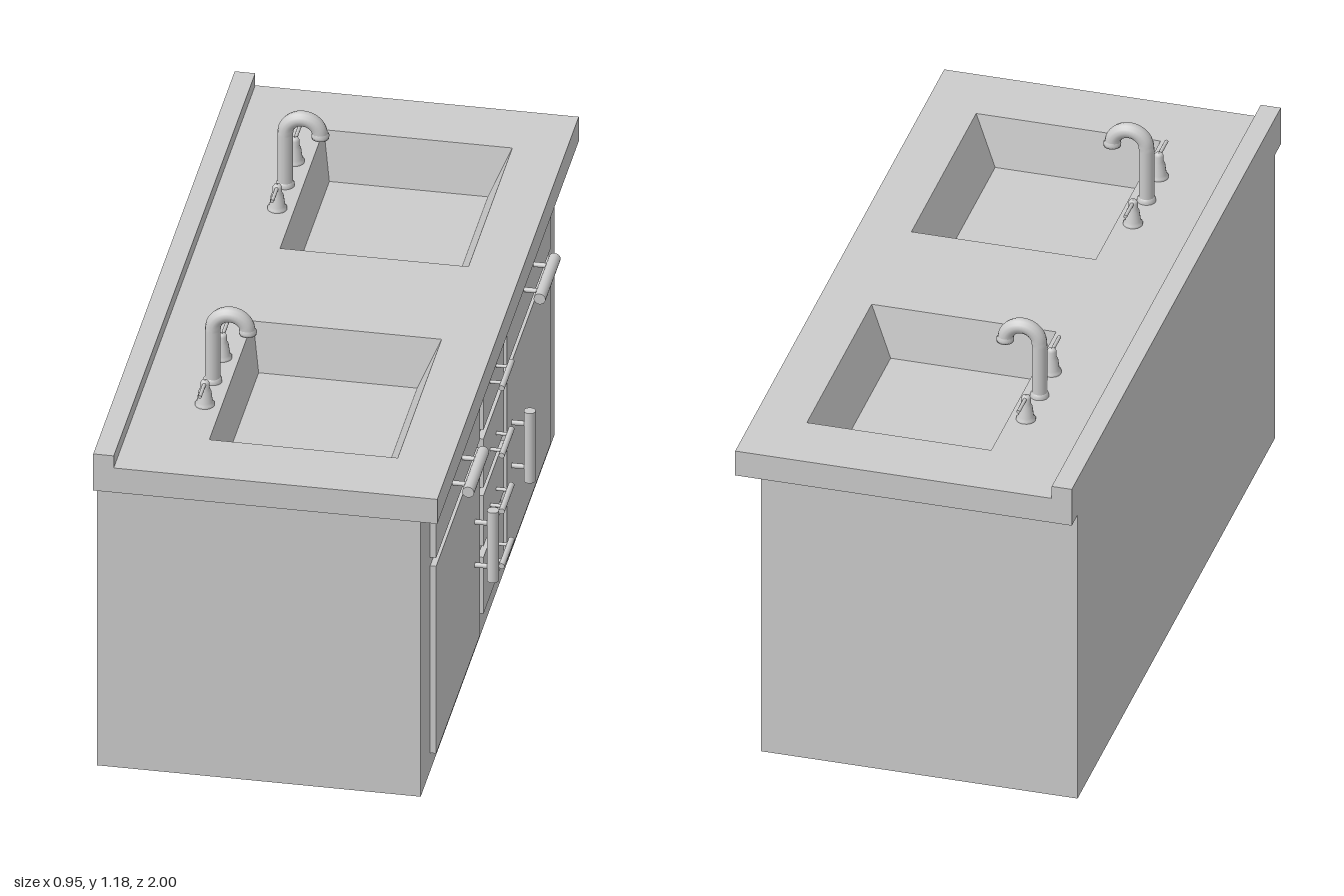
import * as THREE from 'three';

const grey = new THREE.MeshStandardMaterial({ color: 0xcccccc });
const greyDouble = new THREE.MeshStandardMaterial({ color: 0xcccccc, side: THREE.DoubleSide });

function add(parent, name, geometry, material = grey) {
  const mesh = new THREE.Mesh(geometry, material);
  mesh.name = name;
  parent.add(mesh);
  return mesh;
}

// Box given by its minimum and maximum on each axis
function box(x0, x1, y0, y1, z0, z1) {
  return new THREE.BoxGeometry(x1 - x0, y1 - y0, z1 - z0)
    .translate((x0 + x1) / 2, (y0 + y1) / 2, (z0 + z1) / 2);
}

const lathe = (points, sides) =>
  new THREE.LatheGeometry(points.map(([r, y]) => new THREE.Vector2(r, y)), sides);

const BODY_FRONT = 0.392, PANEL_FRONT = 0.408, TOP = 0.95;

// Bar pull: a round bar along z on two posts that reach back to the panel
function barPull(name, length, barRadius, postRadius, postOffset, reach) {
  const pull = new THREE.Group();
  pull.name = name;
  add(pull, 'bar', new THREE.CylinderGeometry(barRadius, barRadius, length, 16)
    .rotateX(Math.PI / 2).translate(reach, 0, 0));
  for (const s of [-1, 1]) {
    add(pull, 'post', new THREE.CylinderGeometry(postRadius, postRadius, reach, 10)
      .rotateZ(Math.PI / 2).translate(reach / 2, 0, s * postOffset));
  }
  return pull;
}
const largePull = (name) => barPull(name, 0.214, 0.016, 0.007, 0.066, 0.048);
const smallPull = (name) => barPull(name, 0.14, 0.008, 0.005, 0.042, 0.035);

// Sink basin: four sloping walls and a floor, built between two rectangles
function basinGeometry() {
  const ring = (x0, x1, z0, z1, y) => [[x0, y, z0], [x0, y, z1], [x1, y, z1], [x1, y, z0]];
  const rim = ring(-0.2, 0.305, -0.31, 0.31, TOP);
  const floor = ring(-0.18, 0.245, -0.282, 0.282, 0.81);
  const out = [];
  const quad = (a, b, c, d) => out.push(...a, ...b, ...c, ...a, ...c, ...d);
  for (let i = 0; i < 4; i++) {
    const j = (i + 1) % 4;
    quad(rim[i], floor[i], floor[j], rim[j]);
  }
  quad(...floor);
  const g = new THREE.BufferGeometry();
  g.setAttribute('position', new THREE.Float32BufferAttribute(out, 3));
  g.computeVertexNormals();
  return g;
}

// Gooseneck spout
function spout() {
  const group = new THREE.Group();
  group.name = 'faucet';
  const path = new THREE.CurvePath();
  const bend = [];
  for (let i = 0; i <= 8; i++) {
    const a = Math.PI * (1 - i / 8);
    bend.push(new THREE.Vector3(0.047 + 0.047 * Math.cos(a), 0.162 + 0.047 * Math.sin(a), 0));
  }
  path.add(new THREE.LineCurve3(new THREE.Vector3(0, 0, 0), bend[0]));
  path.add(new THREE.CatmullRomCurve3(bend));
  add(group, 'spout', new THREE.TubeGeometry(path, 40, 0.021, 12));
  add(group, 'spoutBase', lathe([[0.025, 0], [0.025, 0.008], [0.021, 0.014]], 16));
  add(group, 'spoutTip', lathe(
    [[0, 0], [0.023, 0], [0.024, 0.008], [0.021, 0.016]], 16)).position.set(0.094, 0.155, 0);
  return group;
}

// Tap with a tapered body and a thin lever pointing along dir in z
function tap(dir) {
  const group = new THREE.Group();
  group.name = 'tap';
  add(group, 'tapBody', lathe([[0.026, 0], [0.026, 0.006], [0.021, 0.012], [0.017, 0.042],
    [0.013, 0.05], [0.013, 0.066], [0.009, 0.073], [0, 0.074]], 16));
  add(group, 'lever', new THREE.CylinderGeometry(0.005, 0.005, 0.075, 10)
    .rotateX(Math.PI / 2).translate(0, 0.066, dir * 0.037));
  return group;
}

export function createModel() {
  const model = new THREE.Group();
  model.name = 'doubleVanity';

  // Cabinet body, open at the top beneath the counter so the basins drop in
  const body = box(-0.475, BODY_FRONT, 0, 0.876, -0.945, 0.945);
  const index = Array.from(body.index.array);
  index.splice(12, 6);
  body.setIndex(index);
  body.clearGroups();
  add(model, 'cabinetBody', body, greyDouble);

  // Counter with two sink openings, and the low backsplash
  const slab = new THREE.Shape();
  const rect = (path, x0, x1, z0, z1) =>
    path.moveTo(x0, z0).lineTo(x1, z0).lineTo(x1, z1).lineTo(x0, z1).closePath();
  rect(slab, -0.475, 0.447, -1, 1);
  for (const s of [-1, 1]) {
    const hole = new THREE.Path();
    rect(hole, -0.2, 0.305, s * 0.5 - 0.31, s * 0.5 + 0.31);
    slab.holes.push(hole);
  }
  add(model, 'counter', new THREE.ExtrudeGeometry(slab, { depth: 0.075, bevelEnabled: false })
    .rotateX(-Math.PI / 2).translate(0, 0.875, 0));
  add(model, 'backsplash', box(-0.475, -0.42, TOP, 0.987, -1, 1));

  // Each side: basin, faucet set, wide drawer and door
  for (const s of [-1, 1]) {
    add(model, 'basin', basinGeometry(), greyDouble).position.z = s * 0.5;

    const faucet = spout();
    faucet.position.set(-0.247, TOP, s * 0.512);
    model.add(faucet);
    for (const d of [-1, 1]) {
      const t = tap(d);
      t.position.set(-0.245, TOP, s * 0.512 + d * 0.123);
      model.add(t);
    }

    const z0 = s * 0.5 - 0.31, z1 = s * 0.5 + 0.31;
    add(model, 'wideDrawer', box(BODY_FRONT, PANEL_FRONT, 0.655, 0.817, z0, z1));
    add(model, 'door', box(BODY_FRONT, PANEL_FRONT, 0.055, 0.629, z0, z1));

    const drawerPull = largePull('wideDrawerPull');
    drawerPull.position.set(PANEL_FRONT, 0.745, s * 0.505);
    const doorPull = largePull('doorPull');
    doorPull.position.set(PANEL_FRONT, 0.377, s * 0.26);
    doorPull.rotation.x = Math.PI / 2;
    model.add(drawerPull, doorPull);
  }

  // Centre stack of small drawers: bottom, top, pull height
  const drawers = [[0.655, 0.817, 0.745], [0.478, 0.627, 0.538],
    [0.298, 0.453, 0.367], [0.091, 0.264, 0.199]];
  for (const [y0, y1, pullY] of drawers) {
    add(model, 'smallDrawer', box(BODY_FRONT, PANEL_FRONT, y0, y1, -0.147, 0.141));
    const pull = smallPull('smallDrawerPull');
    pull.position.set(PANEL_FRONT, pullY, 0);
    model.add(pull);
  }

  return model;
}
